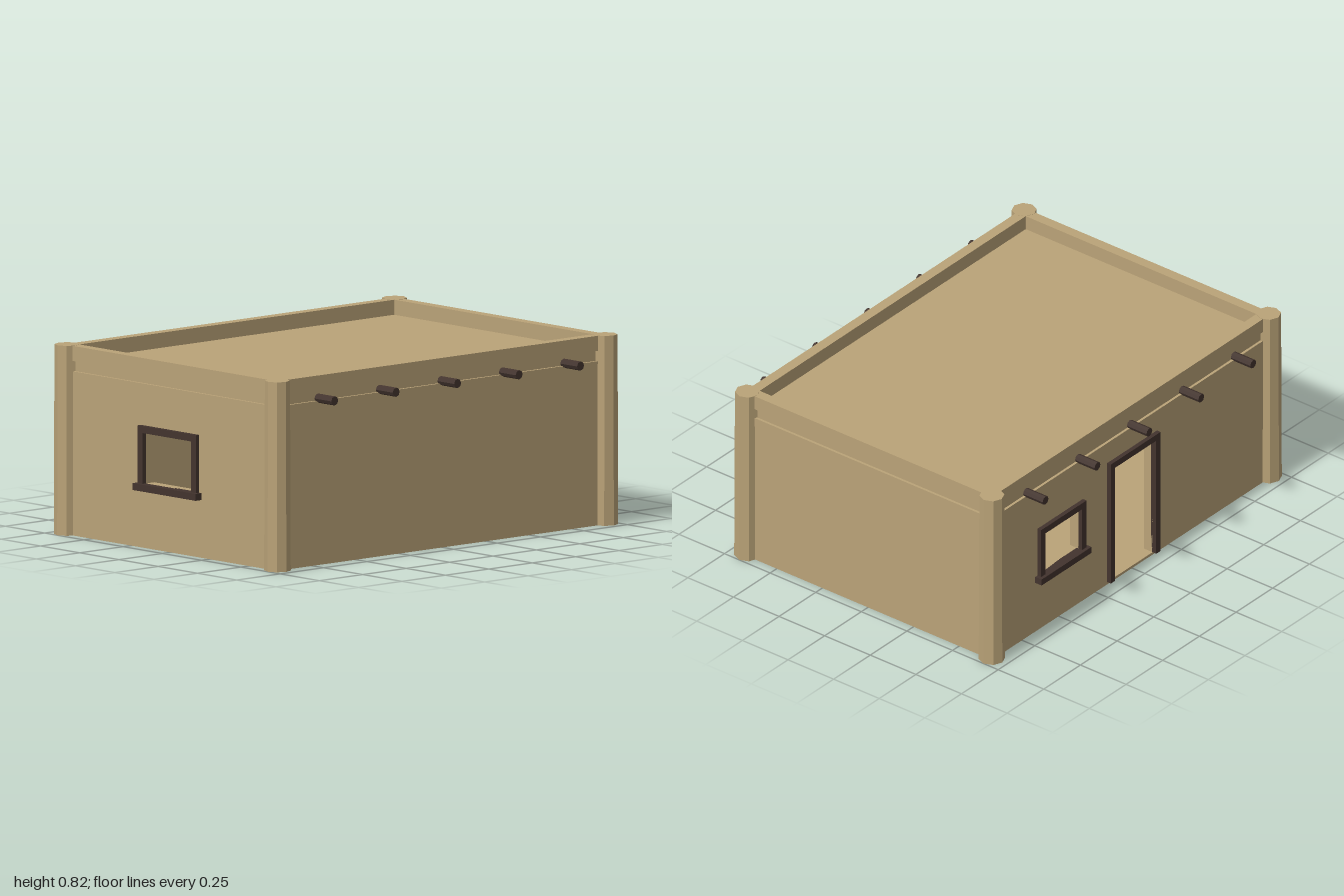
import * as THREE from 'three';

const HX = 0.955, HZ = 0.68, T = 0.048;      // half extents and wall thickness
const WALL_H = 0.71, DECK_H = 0.755, TOP = 0.82;

export function createModel() {
  const adobe = new THREE.MeshStandardMaterial({ color: 0xbaa378, flatShading: true });
  adobe.name = 'adobe clay';
  const wood = new THREE.MeshStandardMaterial({ color: 0x43342e, flatShading: true });
  wood.name = 'dark wood';

  const model = new THREE.Group();
  model.name = 'adobeHouse';

  const add = (parent, name, geometry, material, x = 0, y = 0, z = 0) => {
    const mesh = new THREE.Mesh(geometry, material);
    mesh.name = name;
    mesh.position.set(x, y, z);
    parent.add(mesh);
    return mesh;
  };
  const box = (parent, name, material, w, h, d, x, y, z) =>
    add(parent, name, new THREE.BoxGeometry(w, h, d), material, x, y, z);

  const rect = (Kind, x0, y0, x1, y1) => {
    const p = new Kind();
    p.moveTo(x0, y0);
    p.lineTo(x1, y0);
    p.lineTo(x1, y1);
    p.lineTo(x0, y1);
    p.closePath();
    return p;
  };

  // A wall facing local +z with framed openings, turned into place
  const BAR = 0.03;
  function wall(name, halfWidth, dist, turn, openings = []) {
    const side = new THREE.Group();
    side.name = name;
    side.rotation.y = turn;
    model.add(side);
    const shape = rect(THREE.Shape, -halfWidth, 0, halfWidth, WALL_H);
    for (const o of openings) {
      shape.holes.push(rect(THREE.Path, o.x - o.half, o.bottom, o.x + o.half, o.top));
    }
    const geometry = new THREE.ExtrudeGeometry(shape, { depth: T, bevelEnabled: false });
    add(side, name + 'Panel', geometry, adobe, 0, 0, dist - T);

    for (const o of openings) {
      const z = dist + 0.005, depth = 0.03, h = o.top - o.bottom;
      for (const s of [-1, 1]) {
        box(side, o.kind + 'Jamb', wood, BAR, h, depth,
          o.x + s * (o.half + BAR / 2), o.bottom + h / 2, z);
      }
      box(side, o.kind + 'Lintel', wood, 2 * (o.half + BAR), BAR, depth, o.x, o.top + BAR / 2, z);
      if (o.kind === 'window') {
        box(side, 'windowSill', wood, 2 * (o.half + BAR + 0.015), BAR, 0.045,
          o.x, o.bottom - BAR / 2, dist + 0.0125);
      }
    }
  }

  wall('frontWall', HX, HZ, 0);
  wall('rearWall', HX, HZ, Math.PI, [
    { kind: 'door', x: 0, half: 0.14, bottom: 0.012, top: 0.58 },
    { kind: 'window', x: -0.49, half: 0.125, bottom: 0.275, top: 0.48 },
  ]);
  wall('leftWall', HZ - T, HX, Math.PI / 2);
  wall('rightWall', HZ - T, HX, -Math.PI / 2, [
    { kind: 'window', x: 0, half: 0.155, bottom: 0.28, top: 0.5 },
  ]);

  // Floor and the recessed roof deck
  box(model, 'floor', adobe, 2 * (HX - T), 0.012, 2 * (HZ - T), 0, 0.006, 0);
  box(model, 'roofDeck', adobe, 2 * HX - 0.024, DECK_H - WALL_H, 2 * HZ - 0.024,
    0, (DECK_H + WALL_H) / 2, 0);

  // Parapet ring around the roof
  const ring = rect(THREE.Shape, -HX, -HZ, HX, HZ);
  ring.holes.push(rect(THREE.Path, -HX + T, -HZ + T, HX - T, HZ - T));
  const parapet = new THREE.ExtrudeGeometry(ring, { depth: TOP - DECK_H, bevelEnabled: false });
  parapet.rotateX(-Math.PI / 2);
  add(model, 'parapet', parapet, adobe, 0, DECK_H, 0);

  // Eight-sided corner buttresses, slightly wider at the foot
  const post = new THREE.CylinderGeometry(0.054, 0.057, TOP + 0.001, 8);
  for (const sx of [-1, 1]) {
    for (const sz of [-1, 1]) {
      add(model, 'cornerPost', post, adobe, sx * 0.943, (TOP + 0.001) / 2, sz * 0.67);
    }
  }

  // Roof beams running through the house
  const beam = new THREE.CylinderGeometry(0.02, 0.02, 1.55, 8);
  beam.rotateX(Math.PI / 2);
  for (let i = -2; i <= 2; i++) add(model, 'roofBeam', beam, wood, i * 0.354, 0.72, 0);

  // Low wooden platform inside
  box(model, 'platform', wood, 0.7, 0.1, 0.55, 0.53, 0.06, 0.28);

  return model;
}
